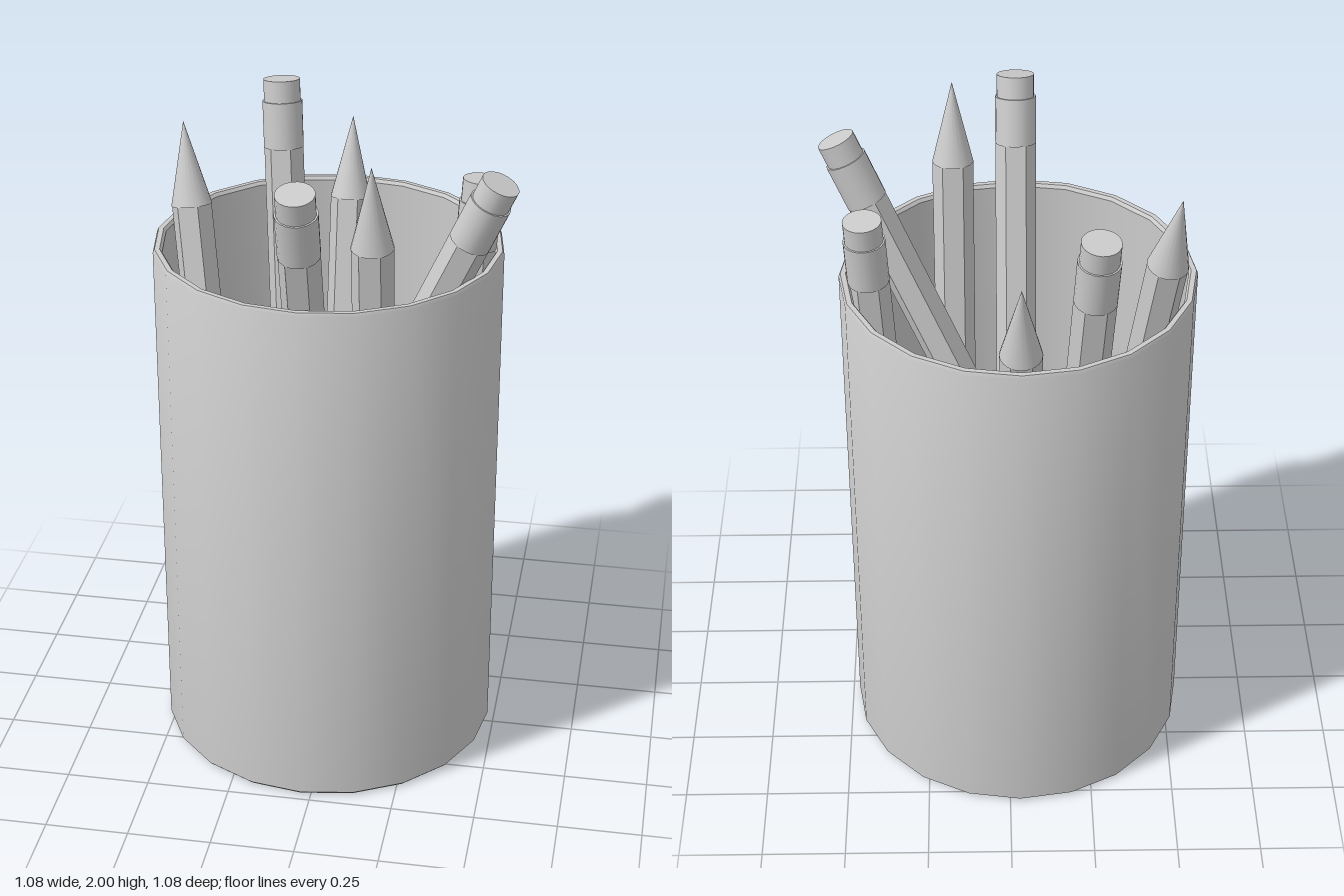
import * as THREE from 'three';
import { toCreasedNormals } from 'three/addons/utils/BufferGeometryUtils.js';

const material = new THREE.MeshStandardMaterial({ color: 0xcccccc });
const V = (x, y, z) => new THREE.Vector3(x, y, z);

function addPart(group, name, geometry, y) {
  const mesh = new THREE.Mesh(geometry, material);
  mesh.name = name;
  mesh.position.y = y;
  group.add(mesh);
}

// A pencil lying along the line from its eraser end to its sharpened tip
function makePencil(eraserEnd, tip) {
  const pencil = new THREE.Group();
  pencil.name = 'pencil';
  const eraser = 0.065, ferrule = 0.14, cone = 0.245;
  const length = eraserEnd.distanceTo(tip);
  const body = length - eraser - ferrule - cone;

  addPart(pencil, 'eraser', new THREE.CylinderGeometry(0.055, 0.055, eraser, 20), eraser / 2);
  addPart(pencil, 'ferrule', new THREE.CylinderGeometry(0.06, 0.06, ferrule, 20), eraser + ferrule / 2);
  const hex = new THREE.CylinderGeometry(0.06, 0.06, body, 6).rotateY(Math.PI / 2);
  addPart(pencil, 'hexBody', toCreasedNormals(hex, 0.5), eraser + ferrule + body / 2);
  addPart(pencil, 'sharpenedTip', new THREE.ConeGeometry(0.06, cone, 20), length - cone / 2);

  pencil.position.copy(eraserEnd);
  // Flip eraser-up pencils about x first, then lean along the line
  const dir = tip.clone().sub(eraserEnd).normalize();
  const up = V(0, Math.sign(dir.y), 0);
  pencil.quaternion.setFromUnitVectors(up, dir);
  if (dir.y < 0) pencil.quaternion.multiply(new THREE.Quaternion().setFromAxisAngle(V(1, 0, 0), Math.PI));
  return pencil;
}

export function createModel() {
  const model = new THREE.Group();
  model.name = 'pencilCup';

  // Cup: hollow 20-sided shell with small bevels at foot and rim
  const profile = [
    [0, 0], [0.5, 0], [0.51, 0.01], [0.51, 1.6], [0.505, 1.61],
    [0.49, 1.61], [0.483, 1.6], [0.483, 0.03], [0, 0.03],
  ].map(([r, y]) => new THREE.Vector2(r, y));
  const cup = new THREE.Mesh(toCreasedNormals(new THREE.LatheGeometry(profile, 20), 0.6), material);
  cup.name = 'cup';
  cup.position.set(-0.03, 0, -0.032);
  model.add(cup);

  // Pencils: eraser end, then tip
  const pencils = [
    // eraser up
    [V(-0.24, 1.95, -0.417), V(-0.14, 0.03, -0.135)],
    [V(0.405, 1.81, -0.077), V(0.31, 0.03, 0.055)],
    [V(0.485, 1.91, 0.2), V(-0.345, 0.05, -0.043)],
    [V(-0.03, 1.96, 0.485), V(-0.03, 0.03, -0.045)],
    // tip up
    [V(-0.03, 0.04, -0.095), V(-0.03, 1.83, -0.46)],
    [V(0.155, 0.04, 0.135), V(0.155, 2.0, 0.365)],
    [V(-0.25, 0.04, 0.225), V(-0.477, 1.905, -0.137)],
  ];
  for (const [eraserEnd, tip] of pencils) model.add(makePencil(eraserEnd, tip));
  return model;
}
